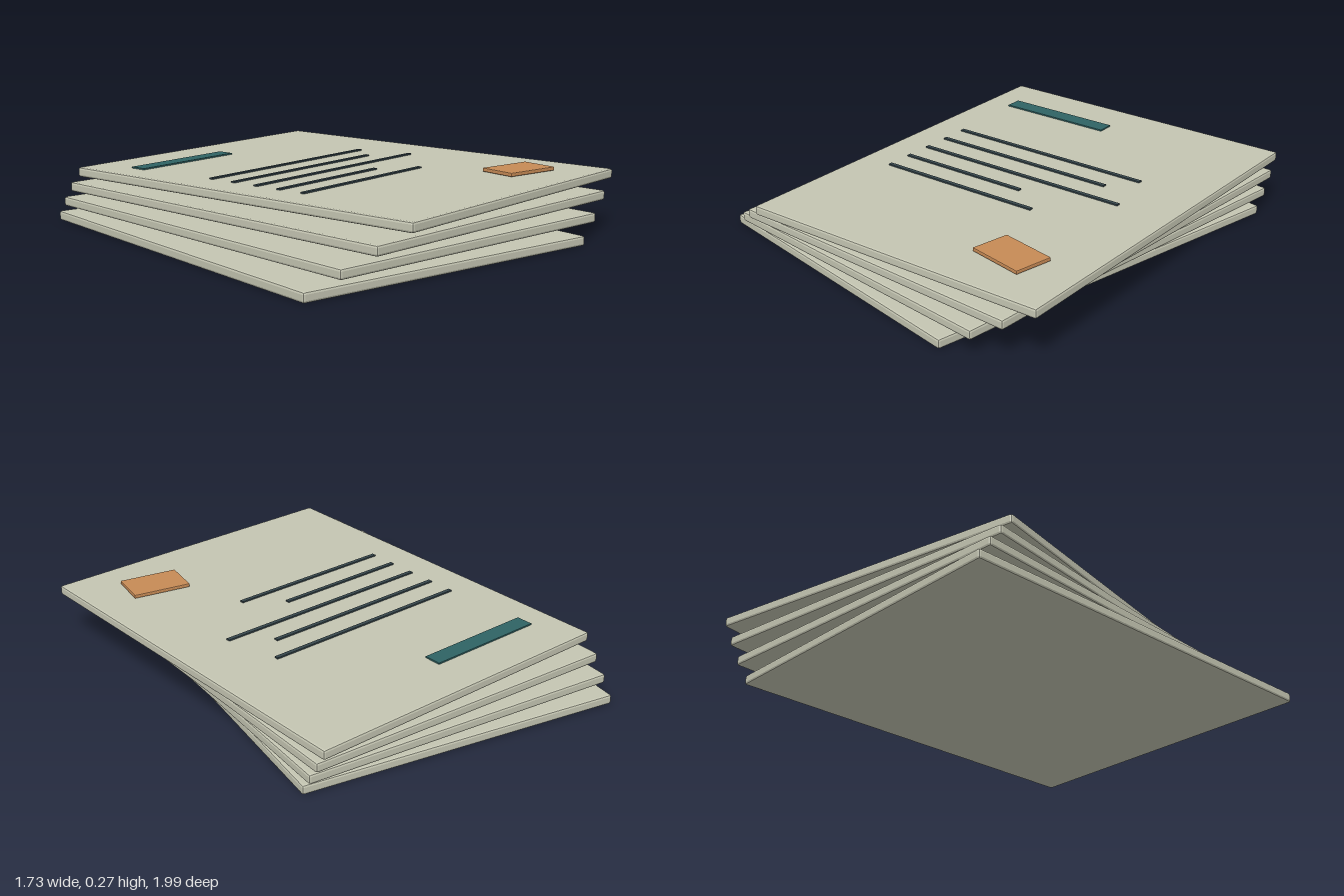
import * as THREE from 'three';
import { RoundedBoxGeometry } from 'three/addons/geometries/RoundedBoxGeometry.js';

const material = (name, color) => {
  const m = new THREE.MeshStandardMaterial({ color });
  m.name = name;
  return m;
};

// Box with a single flat chamfer on every edge
function chamferBox(w, h, d, bevel) {
  const g = new RoundedBoxGeometry(w, h, d, 1, bevel);
  g.computeVertexNormals();
  return g;
}

export function createModel() {
  const paper = material('paper', 0xc4c5b2);
  const teal = material('teal', 0x2f6364);
  const ink = material('ink', 0x36464c);
  const orange = material('orange', 0xc68a55);

  const model = new THREE.Group();
  model.name = 'paperStack';
  const add = (parent, name, geometry, mat, x, y, z) => {
    const mesh = new THREE.Mesh(geometry, mat);
    mesh.name = name;
    mesh.position.set(x, y, z);
    parent.add(mesh);
    return mesh;
  };

  // Four fanned sheets, each turned and shifted a little more than the one below
  const thickness = 0.04;
  const sheetGeometry = chamferBox(1.39, thickness, 1.742, 0.009);
  let top;
  for (let i = 0; i < 4; i++) {
    top = new THREE.Group();
    top.name = `sheetGroup${i + 1}`;
    top.position.set(-0.175 + i * 0.059, thickness / 2 + i * 0.07, 0);
    top.rotation.y = THREE.MathUtils.degToRad(4 * i);
    add(top, `sheet${i + 1}`, sheetGeometry, paper, 0, 0, 0);
    model.add(top);
  }

  // Printed heading bar and text lines on the top sheet
  const plate = 0.008;
  const surface = thickness / 2 + plate / 2 - 0.002;
  add(top, 'headingBar', new THREE.BoxGeometry(0.522, plate, 0.073), teal, -0.306, surface, -0.643);
  [0.945, 0.85, 0.997, 0.598, 0.746].forEach((length, i) => {
    add(top, `textLine${i + 1}`, new THREE.BoxGeometry(length, plate, 0.018), ink,
      -0.545 + length / 2, surface, -0.24 + 0.12 * i);
  });

  // Stamp, square to the bottom sheet
  add(model, 'stamp', chamferBox(0.25, 0.016, 0.166, 0.004), orange, 0.505, 0.26, 0.513);

  return model;
}
